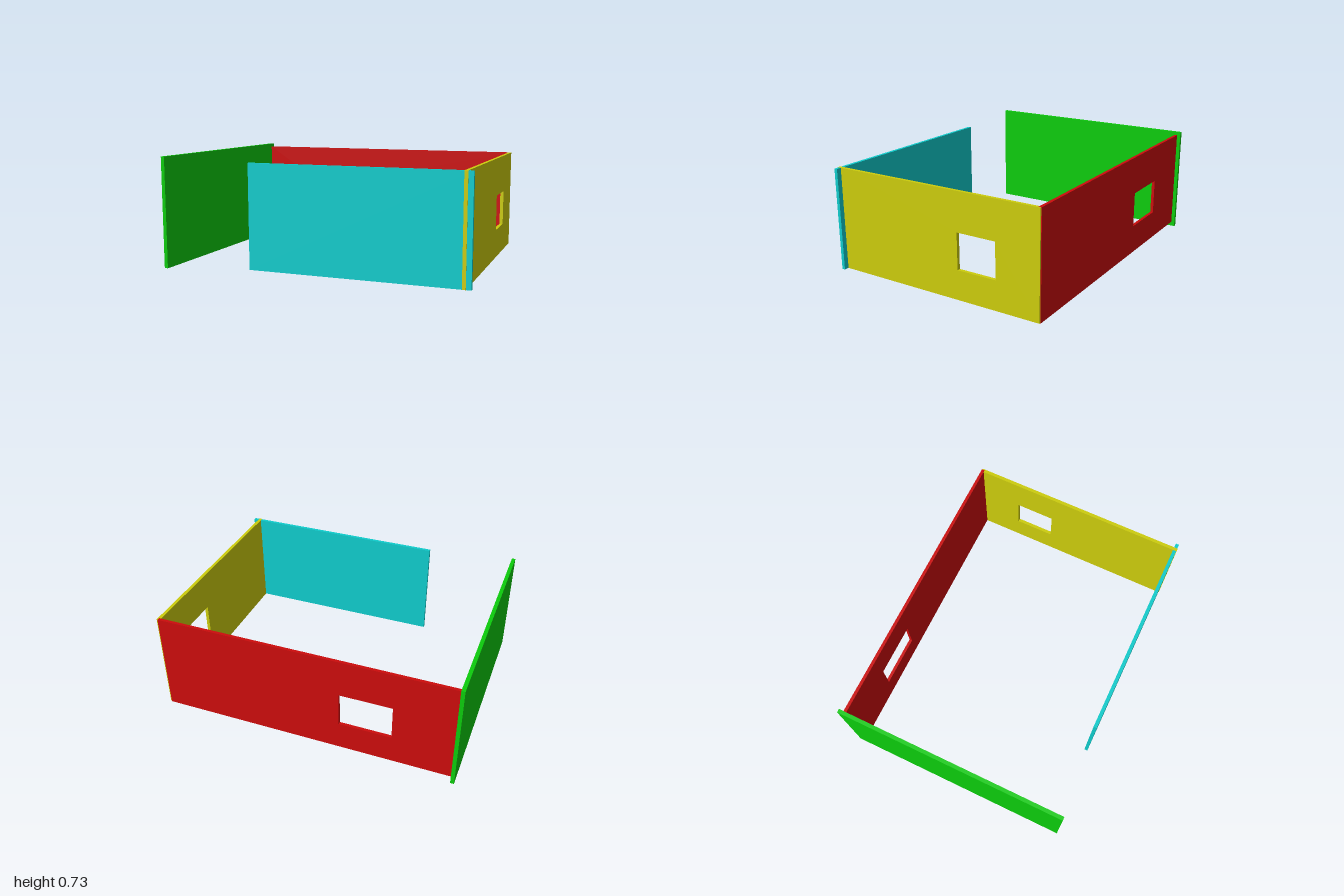
import * as THREE from 'three';

// Upright panel in the XY plane, centred in thickness, with an optional window [u0, u1, v0, v1]
function panel(name, color, u0, u1, v0, v1, thickness, win) {
  const rect = (path, a, b, c, d) =>
    path.moveTo(a, c).lineTo(b, c).lineTo(b, d).lineTo(a, d).lineTo(a, c);
  const shape = rect(new THREE.Shape(), u0, u1, v0, v1);
  if (win) shape.holes.push(rect(new THREE.Path(), ...win));
  const geometry = new THREE.ExtrudeGeometry(shape, { depth: thickness, bevelEnabled: false });
  geometry.translate(0, 0, -thickness / 2);
  const mesh = new THREE.Mesh(geometry, new THREE.MeshStandardMaterial({ color }));
  mesh.name = name;
  return mesh;
}

export function createModel() {
  const group = new THREE.Group();
  group.name = 'roomWalls';

  // Back wall with window
  const back = panel('backWall', 0xcc0c0c, -0.975, 0.96, 0.03, 0.702, 0.02, [-0.59, -0.25, 0.22, 0.452]);
  back.position.z = -0.729;

  // Short front wall, leaving a wide opening beside it
  const front = panel('frontWall', 0x0fcccc, -0.398, 1, 0.03, 0.7, 0.022);
  front.position.z = 0.712;

  // Side wall with window; turned so that its local x runs along -z
  const side = panel('leftWall', 0xcccc0c, -0.726, 0.735, 0.03, 0.701, 0.022, [0.183, 0.447, 0.22, 0.452]);
  side.rotation.y = Math.PI / 2;
  side.position.x = 0.957;

  // Taller plain side wall
  const tall = panel('rightWall', 0x0ccc0c, -0.763, 0.763, 0, 0.725, 0.024);
  tall.rotation.y = Math.PI / 2;
  tall.position.x = -0.988;

  group.add(back, front, side, tall);
  return group;
}
